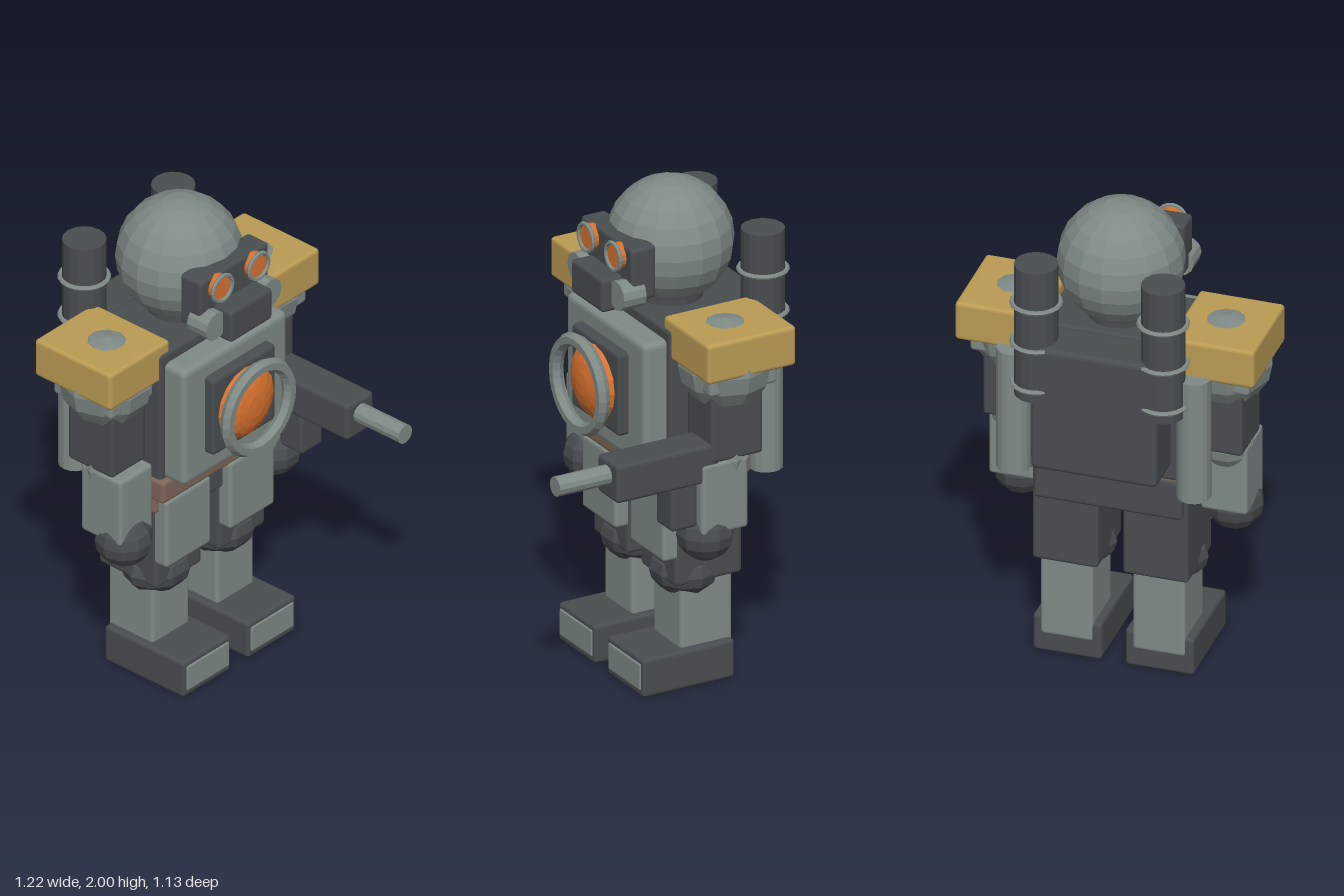
import * as THREE from 'three';
import { RoundedBoxGeometry } from 'three/addons/geometries/RoundedBoxGeometry.js';

const mat = (name, color, flat = false) => {
  const m = new THREE.MeshStandardMaterial({ color, flatShading: flat });
  m.name = name;
  return m;
};
const grey = mat('light grey armour', 0x7f8a86, true);
const dark = mat('dark grey metal', 0x484d4f, true);
const yellow = mat('yellow paint', 0xbb9b54, true);
const orange = mat('orange glass', 0xd9722e, true);
const brown = mat('brown leather', 0x7f6558, true);

export function createModel() {
  const model = new THREE.Group();
  model.name = 'robot';

  const add = (name, geometry, material, x, y, z, parent = model) => {
    const mesh = new THREE.Mesh(geometry, material);
    mesh.name = name;
    mesh.position.set(x, y, z);
    parent.add(mesh);
    return mesh;
  };
  // bevelled box given by its limits on each axis
  const box = (name, material, [x0, x1], [y0, y1], [z0, z1], r = 0.015) =>
    add(name, new RoundedBoxGeometry(x1 - x0, y1 - y0, z1 - z0, 2, r), material,
      (x0 + x1) / 2, (y0 + y1) / 2, (z0 + z1) / 2);
  // the same box on one side, limits measured outwards from the centre
  const sideBox = (name, material, s, [a, b], y, z, r) =>
    box(name, material, s > 0 ? [a, b] : [-b, -a], y, z, r);
  const ball = (name, material, r, x, y, z, w = 10, h = 8) =>
    add(name, new THREE.SphereGeometry(r, w, h), material, x, y, z);
  const rod = (name, material, r, length, x, y, z, alongZ = false, sides = 16) => {
    const g = new THREE.CylinderGeometry(r, r, length, sides);
    if (alongZ) g.rotateX(Math.PI / 2);
    return add(name, g, material, x, y, z);
  };

  // head and face
  ball('head', grey, 0.25, 0, 1.75, -0.2, 16, 12);
  rod('neck', dark, 0.13, 0.12, 0, 1.53, -0.2);
  box('visor', dark, [-0.197, 0.197], [1.61, 1.83], [-0.025, 0.085]);
  box('muzzle', dark, [-0.12, 0.12], [1.555, 1.695], [-0.02, 0.172]);

  // torso
  box('torso', dark, [-0.325, 0.325], [0.9, 1.515], [-0.37, -0.01]);
  box('chestPlate', grey, [-0.3, 0.3], [0.945, 1.47], [-0.05, 0.09], 0.025);
  box('lampMount', dark, [-0.18, 0.18], [1.05, 1.395], [0.07, 0.135]);
  const lamp = ball('chestLamp', orange, 0.155, 0, 1.22, 0.13, 16, 10);
  lamp.geometry.rotateX(Math.PI / 2);
  lamp.scale.z = 0.45;
  add('lampRing', new THREE.TorusGeometry(0.178, 0.028, 6, 28), grey, 0, 1.22, 0.203);
  box('belt', brown, [-0.337, 0.337], [0.85, 0.95], [-0.365, 0.015]);
  box('pelvis', dark, [-0.3, 0.3], [0.725, 0.9], [-0.37, -0.03]);

  // backpack
  box('backpack', dark, [-0.255, 0.255], [0.96, 1.5], [-0.545, -0.35], 0.02);

  for (const s of [1, -1]) {
    // eyes and breathing canisters
    rod('eyeLens', orange, 0.052, 0.035, s * 0.104, 1.778, 0.093, true);
    add('eyeRing', new THREE.TorusGeometry(0.055, 0.009, 6, 20), grey, s * 0.104, 1.778, 0.113);
    rod('cheekCanister', grey, 0.06, 0.1, s * 0.157, 1.635, 0.08, true, 12);

    // exhausts with clamps, and side tubes
    rod('exhaust', dark, 0.086, 0.575, s * 0.257, 1.543, -0.463);
    for (const y of [1.66, 1.485, 1.305]) {
      const clamp = new THREE.TorusGeometry(0.094, 0.01, 6, 20).rotateX(Math.PI / 2);
      add('exhaustClamp', clamp, grey, s * 0.257, y, -0.463);
    }
    rod('sideTube', grey, 0.067, 0.53, s * 0.365, 1.145, -0.413);

    // arms
    sideBox('shoulderPad', yellow, s, [0.26, 0.605], [1.395, 1.56], [-0.41, -0.018]);
    sideBox('shoulderCollar', grey, s, [0.32, 0.565], [1.32, 1.41], [-0.35, -0.05]);
    ball('shoulderJoint', grey, 0.187, s * 0.425, 1.39, -0.198);
    sideBox('upperArm', dark, s, [0.33, 0.525], [1.02, 1.325], [-0.31, -0.08]);
    ball('elbow', grey, 0.103, s * 0.428, 1.01, -0.19);
    sideBox('forearm', grey, s, [0.335, 0.523], [0.72, 1.02], [-0.245, -0.038]);
    ball('hand', dark, 0.115, s * 0.43, 0.7, -0.105);

    // legs
    sideBox('hipPouch', brown, s, [0.28, 0.335], [0.785, 0.87], [-0.23, -0.03]);
    sideBox('thigh', dark, s, [0.05, 0.315], [0.43, 0.86], [-0.338, -0.04]);
    sideBox('thighPlate', grey, s, [0.055, 0.313], [0.545, 0.85], [-0.07, 0.012]);
    const knee = ball('knee', dark, 0.132, s * 0.185, 0.45, -0.15);
    knee.geometry.scale(1.15, 0.82, 1);
    knee.scale.y = 1;
    sideBox('shin', grey, s, [0.08, 0.293], [0.08, 0.5], [-0.307, -0.078]);
    sideBox('foot', dark, s, [0.048, 0.325], [0, 0.16], [-0.3, 0.108]);
    sideBox('toePlate', grey, s, [0.064, 0.308], [0.028, 0.138], [0.08, 0.114], 0.006);
  }

  // blaster held by the left arm
  box('gunBody', dark, [0.365, 0.518], [0.942, 1.1], [-0.12, 0.337]);
  box('gunMagazine', dark, [0.382, 0.505], [0.762, 0.96], [-0.03, 0.088]);
  rod('gunBarrel', grey, 0.04, 0.25, 0.44, 1.04, 0.443, true, 12);

  return model;
}
